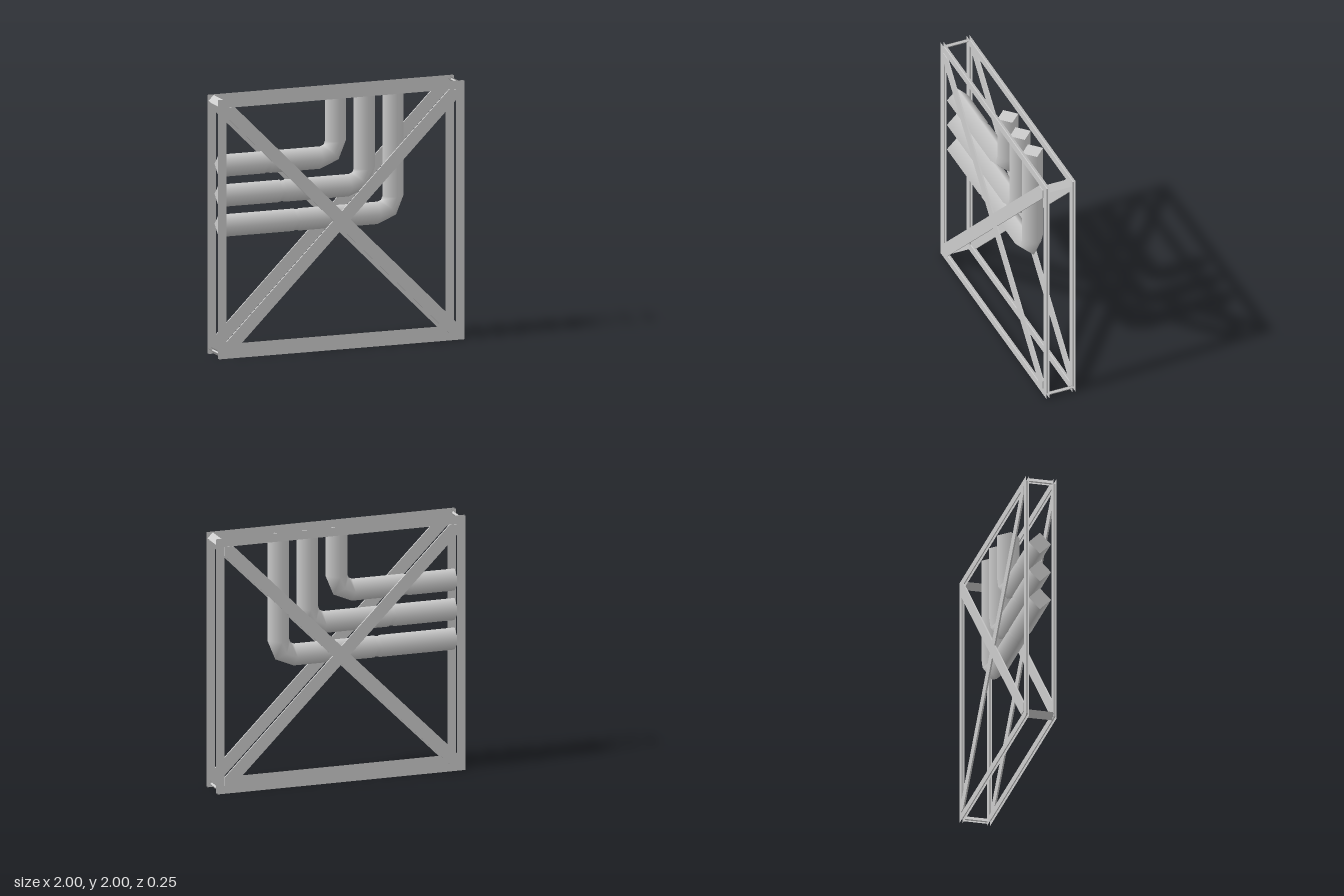
import * as THREE from 'three';

const solid = new THREE.MeshStandardMaterial({ color: 0xcccccc });
const sheet = new THREE.MeshStandardMaterial({ color: 0xcccccc, side: THREE.DoubleSide });

const HALF = 1, RAIL = 0.06, MID = HALF - RAIL / 2;
const Z_IN = 0.095, Z_OUT = 0.119;

function mesh(name, geometry, material) {
  const m = new THREE.Mesh(geometry, material);
  m.name = name;
  return m;
}

const square = h => [[-h, -h], [h, -h], [h, h], [-h, h]].map(p => new THREE.Vector2(...p));

// Square frame of I-section rails: two flat flanges joined by thin webs
function buildFrame() {
  const frame = new THREE.Group();
  const ring = new THREE.Shape(square(HALF));
  ring.holes.push(new THREE.Path(square(HALF - RAIL).reverse()));
  for (const z of [Z_IN, Z_OUT]) {
    const flange = mesh('frameFlange', new THREE.ShapeGeometry(ring), sheet);
    flange.position.z = z;
    frame.add(flange);
  }
  for (let i = 0; i < 4; i++) {
    const geo = new THREE.PlaneGeometry(2 * MID, Z_OUT - Z_IN);
    geo.rotateX(Math.PI / 2).translate(0, MID, (Z_IN + Z_OUT) / 2).rotateZ(i * Math.PI / 2);
    frame.add(mesh('frameWeb', geo, sheet));
  }
  // Crossed diagonal braces, ends trimmed to the inner corners
  const a = HALF - RAIL, b = a - 0.07;
  const band = [[-a, -a], [-b, -a], [a, b], [a, a], [b, a], [-a, -b]];
  for (const angle of [0, Math.PI / 2]) {
    const shape = new THREE.Shape(band.map(p => new THREE.Vector2(...p)));
    const geo = new THREE.ExtrudeGeometry(shape, { depth: 0.012, bevelEnabled: false });
    geo.translate(0, 0, 0.113).rotateZ(angle);
    frame.add(mesh('diagonalBrace', geo, solid));
  }
  return frame;
}

// Small I-section bar joining the two frames at a corner, turned by 45 degrees
function buildCornerTie() {
  const tie = new THREE.Group();
  const c = 0.972 * Math.SQRT2, d = 0.01;
  for (const r of [c - d, c + d]) {
    const geo = new THREE.PlaneGeometry(0.06, 2 * Z_IN);
    tie.add(mesh('tieFlange', geo.rotateX(Math.PI / 2).translate(0, r, 0), sheet));
  }
  const web = new THREE.PlaneGeometry(2 * Z_IN, 2 * d);
  tie.add(mesh('tieWeb', web.rotateY(Math.PI / 2).translate(0, c, 0), sheet));
  return tie;
}

// Four-sided pipe with smooth normals: level run, two-step elbow, then upright
function pipeGeometry(x, y, seam) {
  const R = 0.087, BEND = 0.125, END = 0.955;
  const cx = x - BEND, cy = y + BEND;
  const rings = [[-END, y, 0, R]];
  for (const [dx, r] of [[-0.02, R], [-0.01, R - 0.006], [0.01, R - 0.006], [0.02, R]])
    rings.push([seam + dx, y, 0, r]);
  for (let i = 0; i <= 2; i++) {
    const t = i * Math.PI / 4;
    rings.push([cx + BEND * Math.sin(t), cy - BEND * Math.cos(t), t, R]);
  }
  rings.push([x, 2 * HALF - 0.048, Math.PI / 2, R]);

  const pos = [], nor = [], idx = [];
  const addRing = ([px, py, t, r], capNormal) => {
    for (let j = 0; j < 4; j++) {
      const c = Math.cos(j * Math.PI / 2), s = Math.sin(j * Math.PI / 2);
      const n = [-Math.sin(t) * c, Math.cos(t) * c, s];
      pos.push(px + n[0] * r, py + n[1] * r, n[2] * r);
      nor.push(...(capNormal || n));
    }
  };
  rings.forEach(r => addRing(r));
  for (let i = 0; i < rings.length - 1; i++)
    for (let j = 0; j < 4; j++) {
      const a = i * 4 + j, b = i * 4 + (j + 1) % 4;
      idx.push(a, b, b + 4, a, b + 4, a + 4);
    }
  // End caps
  const k = rings.length * 4;
  addRing(rings[0], [-1, 0, 0]);
  addRing(rings[rings.length - 1], [0, 1, 0]);
  idx.push(k, k + 2, k + 1, k, k + 3, k + 2, k + 4, k + 5, k + 6, k + 4, k + 6, k + 7);

  const geo = new THREE.BufferGeometry();
  geo.setAttribute('position', new THREE.Float32BufferAttribute(pos, 3));
  geo.setAttribute('normal', new THREE.Float32BufferAttribute(nor, 3));
  geo.setIndex(idx);
  return geo;
}

export function createModel() {
  const model = new THREE.Group();
  model.name = 'framedPipes';

  const front = buildFrame();
  front.name = 'frontFrame';
  front.position.y = HALF;
  const back = buildFrame();
  back.name = 'backFrame';
  back.position.y = HALF;
  back.rotation.y = Math.PI;
  model.add(front, back);

  for (let i = 0; i < 4; i++) {
    const tie = buildCornerTie();
    tie.name = 'cornerTie';
    tie.position.y = HALF;
    tie.rotation.z = Math.PI / 4 + i * Math.PI / 2;
    model.add(tie);
  }

  // Three nested bent pipes
  for (let i = 0; i < 3; i++)
    model.add(mesh('bentPipe', pipeGeometry(-0.004 + 0.234 * i, 1.47 - 0.232 * i, -0.56 + 0.117 * i), solid));

  return model;
}
